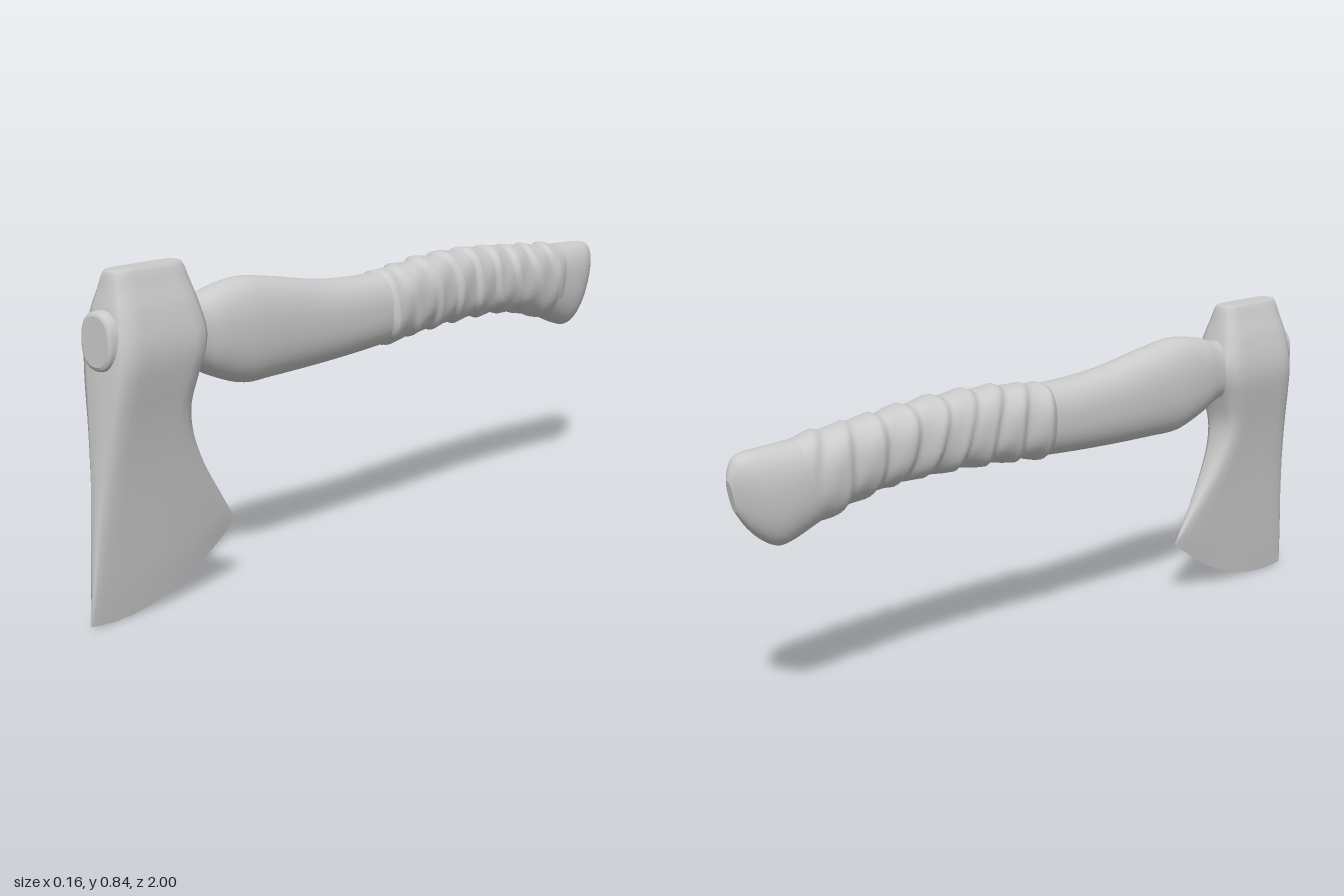
import * as THREE from 'three';

const material = new THREE.MeshStandardMaterial({ color: 0xcccccc, side: THREE.DoubleSide });

// Skin a list of closed rings of points; optional fan caps at either end.
function loft(rings, capStart, capEnd) {
  const n = rings[0].length, pos = [], index = [];
  rings.forEach(r => r.forEach(p => pos.push(p.x, p.y, p.z)));
  for (let i = 0; i < rings.length - 1; i++) {
    for (let j = 0; j < n; j++) {
      const k = (j + 1) % n, a = i * n + j, b = i * n + k;
      index.push(a, a + n, b, b, a + n, b + n);
    }
  }
  const cap = (ring, flip) => {
    const base = pos.length / 3;
    const c = ring.reduce((s, p) => s.add(p), new THREE.Vector3()).divideScalar(n);
    [...ring, c].forEach(p => pos.push(p.x, p.y, p.z));
    for (let j = 0; j < n; j++) {
      const k = (j + 1) % n;
      if (flip) index.push(base + n, base + k, base + j);
      else index.push(base + n, base + j, base + k);
    }
  };
  if (capStart) cap(rings[0], false);
  if (capEnd) cap(rings[rings.length - 1], true);
  const g = new THREE.BufferGeometry();
  g.setAttribute('position', new THREE.Float32BufferAttribute(pos, 3));
  g.setIndex(index);
  g.computeVertexNormals();
  return g;
}

// Smoothly sample rows of six numbers; t is measured in row numbers.
function rowSampler(rows) {
  const curve = o => new THREE.CatmullRomCurve3(
    rows.map(r => new THREE.Vector3(r[o], r[o + 1], r[o + 2])));
  const a = curve(0), b = curve(3), last = rows.length - 1;
  return t => [a.getPoint(t / last), b.getPoint(t / last)];
}

// Head rows, edge to poll: front z, front y, half width, back z, back y, edge sag
const headRows = [
  [1.00, 0.01, 0.001, 0.525, 0.165, 0.058],
  [0.993, 0.10, 0.011, 0.55, 0.20, 0.04],
  [0.985, 0.20, 0.020, 0.585, 0.25, 0.025],
  [0.972, 0.34, 0.034, 0.645, 0.34, 0.005],
  [0.965, 0.43, 0.046, 0.688, 0.43, 0],
  [0.96, 0.50, 0.057, 0.70, 0.50, 0],
  [0.955, 0.57, 0.070, 0.685, 0.57, 0],
  [0.95, 0.63, 0.079, 0.666, 0.63, 0],
  [0.946, 0.68, 0.078, 0.66, 0.68, 0],
  [0.937, 0.75, 0.063, 0.675, 0.75, 0],
  [0.926, 0.80, 0.045, 0.688, 0.80, 0],
  [0.918, 0.838, 0.031, 0.698, 0.838, 0],
  [0.912, 0.846, 0.025, 0.704, 0.846, 0],
];

function headRing(f, b) {
  const len = f.x - b.x, w = f.z, r = 0.028 / len;
  // half section from back to front: [fraction of length, fraction of width]
  const half = [[0, 0], [0, 0.5], [r * 0.25, 0.78], [r, 0.97]];
  for (let i = 1; i < 8; i++) half.push([r + (1 - 2 * r) * i / 8, 1]);
  half.push([1 - r, 0.97], [1 - r * 0.25, 0.8], [1, 0.55], [1, 0]);
  const mirrored = half.slice(1, -1).reverse().map(([u, x]) => [u, -x]);
  return [...half, ...mirrored].map(([u, x]) => new THREE.Vector3(
    x * w, b.y + (f.y - b.y) * u - b.z * 4 * u * (1 - u), b.x + len * u));
}

// Handle rows, head to butt: top z, top y, half width, bottom z, bottom y, unused
const handleRows = [
  [0.962, 0.745, 0.044, 0.962, 0.625, 0],
  [0.955, 0.754, 0.053, 0.955, 0.615, 0],
  [0.80, 0.748, 0.053, 0.80, 0.60, 0],
  [0.66, 0.748, 0.055, 0.66, 0.572, 0],
  [0.60, 0.765, 0.063, 0.60, 0.545, 0],
  [0.50, 0.778, 0.070, 0.50, 0.512, 0],
  [0.40, 0.766, 0.071, 0.40, 0.511, 0],
  [0.20, 0.732, 0.070, 0.20, 0.516, 0],
  [0.00, 0.722, 0.070, 0.00, 0.527, 0],
  [-0.20, 0.736, 0.070, -0.20, 0.545, 0],
  [-0.40, 0.736, 0.070, -0.40, 0.553, 0],
  [-0.60, 0.722, 0.070, -0.58, 0.543, 0],
  [-0.80, 0.707, 0.067, -0.74, 0.499, 0],
  [-0.90, 0.702, 0.063, -0.83, 0.464, 0],
  [-0.95, 0.699, 0.056, -0.865, 0.457, 0],
  [-0.975, 0.69, 0.046, -0.895, 0.469, 0],
  [-0.99, 0.667, 0.029, -0.94, 0.507, 0],
  [-0.998, 0.64, 0.011, -0.98, 0.56, 0],
];

// Rounded oval section; offset(angle, z) swells it outward.
function handleRing(top, bottom, offset = () => 0) {
  const ring = [], n = 40;
  const round = v => Math.sign(v) * Math.abs(v) ** 0.87;
  for (let j = 0; j < n; j++) {
    const a = j / n * Math.PI * 2;
    const c = round(Math.cos(a)), s = round(Math.sin(a));
    const p = new THREE.Vector3(0, bottom.y, bottom.x)
      .lerp(new THREE.Vector3(0, top.y, top.x), (s + 1) / 2);
    const d = offset(a, p.z);
    p.x = c * (top.z + d);
    p.y += s * d;
    ring.push(p);
  }
  return ring;
}

function sampleRings(from, to, steps, fn) {
  return Array.from({ length: steps + 1 }, (_, i) => fn(from + (to - from) * i / steps, i / steps));
}

export function createModel() {
  const model = new THREE.Group();
  const add = (name, geometry) => {
    const mesh = new THREE.Mesh(geometry, material);
    mesh.name = name;
    model.add(mesh);
  };

  // Wedge-shaped head with a flared, curved cutting edge
  const headAt = rowSampler(headRows);
  add('axeHead', loft(sampleRings(0, headRows.length - 1, 48, t => headRing(...headAt(t))), false, true));

  // Handle running through the eye of the head to a flared butt
  const handleAt = rowSampler(handleRows);
  add('handle', loft(sampleRings(0, handleRows.length - 1, 102, t => handleRing(...handleAt(t))), true, true));

  // Spiral grip wrap: overlapping slanted bands with slight lumps
  const wrap = (a, z) => {
    const turn = -z / 0.095 + 0.3 * Math.sin(a + 0.6) + 0.12 * Math.sin(2 * a + z * 9);
    const f = turn - Math.floor(turn);
    const band = Math.min(f / 0.2, (1 - f) / 0.8);
    return 0.002 + 0.008 * band + 0.0025 * Math.sin(3 * a + z * 31) * Math.sin(z * 23 + a);
  };
  add('gripWrap', loft(sampleRings(8, 12.4, 170, (t, s) => {
    const fade = Math.min(1, s * 40, (1 - s) * 8);
    return handleRing(...handleAt(t), (a, z) => (wrap(a, z) + 0.004) * fade - 0.004);
  }), false, false));

  return model;
}
